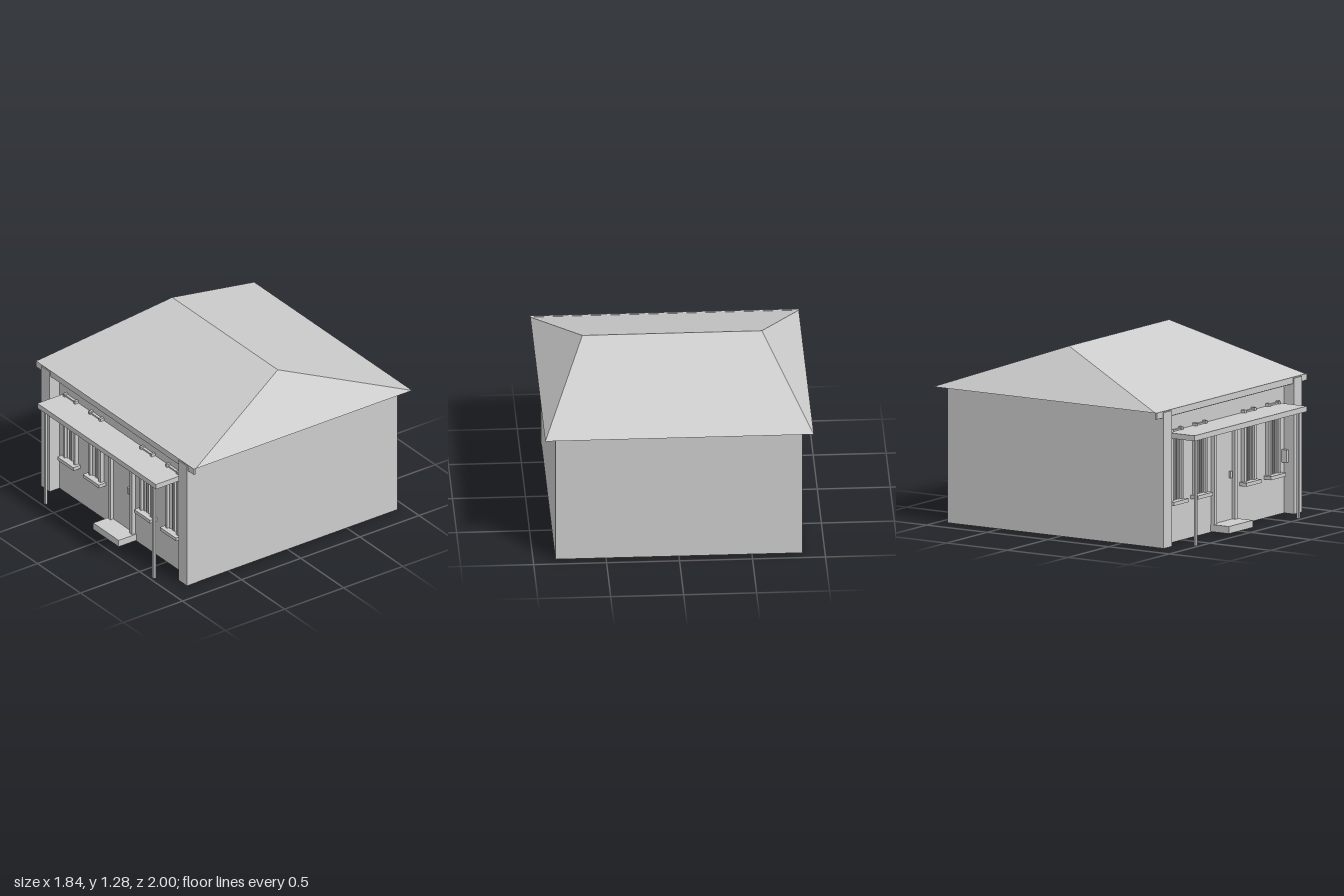
import * as THREE from 'three';

const grey = new THREE.MeshStandardMaterial({ color: 0xcccccc });
grey.name = 'plain grey';

// Box given by its extents on each axis
function box(parent, name, [x0, x1], [y0, y1], [z0, z1]) {
  const g = new THREE.BoxGeometry(x1 - x0, y1 - y0, z1 - z0);
  g.translate((x0 + x1) / 2, (y0 + y1) / 2, (z0 + z1) / 2);
  const m = new THREE.Mesh(g, grey);
  m.name = name;
  parent.add(m);
  return m;
}

const WALL = 0.77; // front wall plane

// Hip roof: rectangular eave, horizontal ridge, flat underside
function hipRoof() {
  const y = 0.95, a = [-0.92, y, 0.83], b = [0.92, y, 0.83], c = [0.92, y, -1], d = [-0.92, y, -1];
  const l = [-0.615, 1.28, -0.085], r = [0.615, 1.28, -0.085];
  const tris = [a, b, r, a, r, l, b, c, r, c, d, l, c, l, r, d, a, l, a, d, c, a, c, b];
  const g = new THREE.BufferGeometry();
  g.setAttribute('position', new THREE.Float32BufferAttribute(tris.flat(), 3));
  g.computeVertexNormals();
  const m = new THREE.Mesh(g, grey);
  m.name = 'roof';
  return m;
}

// Tall window with sill, jambs, sash bars and head
function makeWindow(cx) {
  const w = new THREE.Group();
  w.name = 'window';
  box(w, 'sill', [-0.093, 0.093], [0.27, 0.295], [WALL, 0.83]);
  box(w, 'head', [-0.06, 0.06], [0.765, 0.785], [WALL, 0.79]);
  for (const s of [-1, 1]) {
    const bar = (name, c, h, y1, z1) =>
      box(w, name, [s * c - h, s * c + h], [0.295, y1], [WALL, z1]);
    bar('jamb', 0.061, 0.01, 0.795, 0.80);
    bar('sashBar', 0.04, 0.005, 0.77, 0.785);
    bar('centreBar', 0.01, 0.005, 0.77, 0.785);
  }
  w.position.x = cx;
  return w;
}

export function createModel() {
  const house = new THREE.Group();
  house.name = 'house';

  // Main block and roof
  box(house, 'walls', [-0.847, 0.847], [0, 0.95], [-0.93, WALL]);
  house.add(hipRoof());

  // Front eave: fascia board and lintel between the pilasters
  box(house, 'fascia', [-0.92, 0.92], [0.907, 0.952], [0.83, 0.846]);
  box(house, 'lintel', [-0.847, 0.847], [0.9, 0.95], [WALL, 0.83]);

  // Corner pilasters
  for (const s of [-1, 1]) {
    const p = box(house, 'pilaster', [-0.05, 0.05], [0, 0.945], [WALL, 0.853]);
    p.position.x = s * 0.8;
  }

  // Windows
  for (const x of [-0.598, -0.302, 0.295, 0.596]) house.add(makeWindow(x));

  // Door with jambs, handle and step
  const door = new THREE.Group();
  door.name = 'door';
  box(door, 'doorPanel', [-0.115, 0.107], [0.055, 0.717], [WALL, 0.775]);
  box(door, 'leftJamb', [0.107, 0.136], [0.055, 0.727], [WALL, 0.80]);
  box(door, 'rightJamb', [-0.144, -0.115], [0.055, 0.727], [WALL, 0.80]);
  box(door, 'doorHandle', [0.066, 0.086], [0.345, 0.392], [WALL, 0.79]);
  box(door, 'step', [-0.15, 0.147], [0.005, 0.055], [WALL, 0.92]);
  house.add(door);

  // Flat porch canopy on two slim posts
  box(house, 'canopy', [-0.69, 0.69], [0.737, 0.775], [WALL, 1]);
  for (const x of [-0.633, 0.628]) {
    box(house, 'porchPost', [x - 0.01, x + 0.01], [0, 0.737], [0.963, 0.98]);
  }

  // Small box on the inner side of one pilaster
  box(house, 'meterBox', [0.723, 0.75], [0.357, 0.445], [WALL, 0.81]);

  return house;
}
